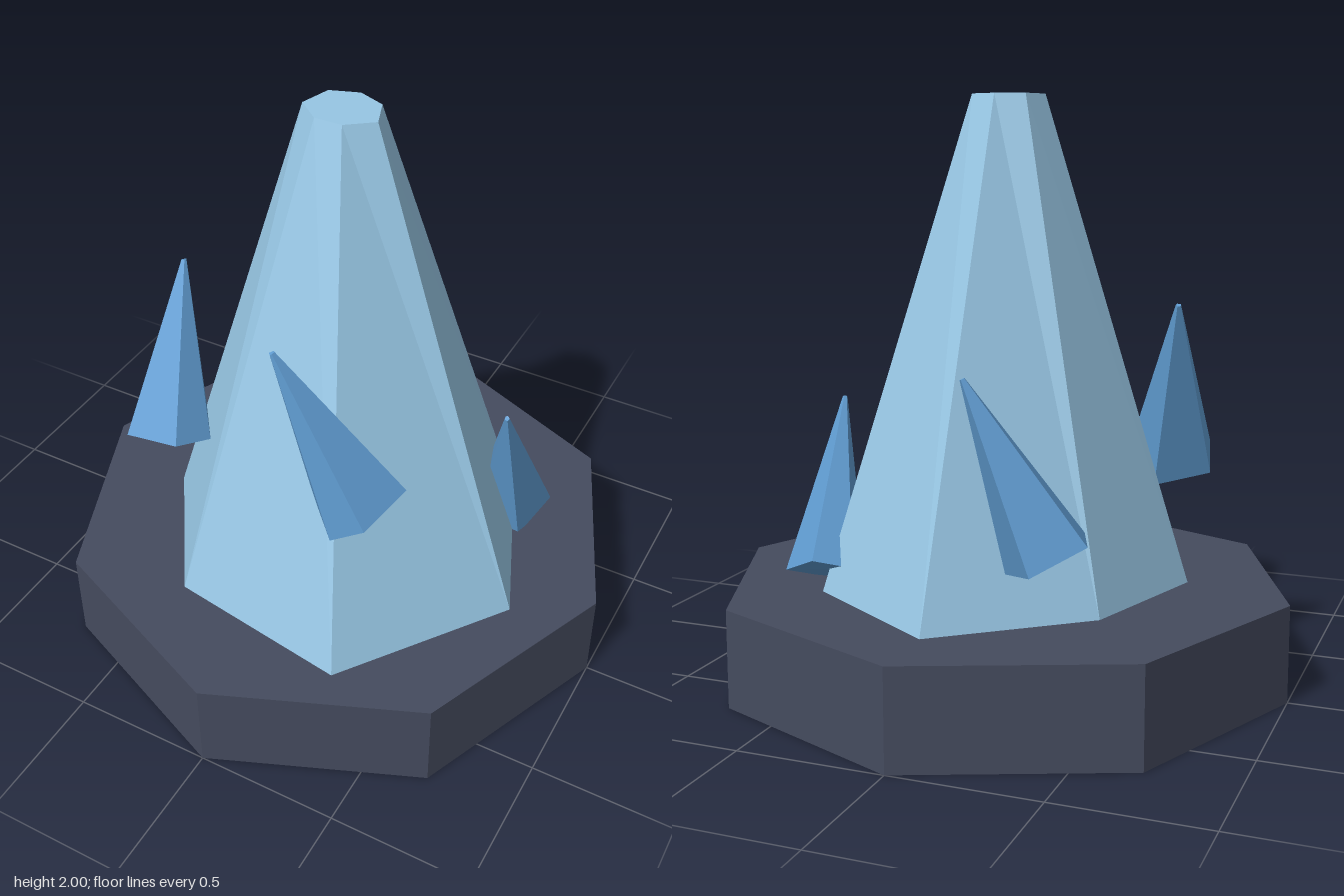
import * as THREE from 'three';

const material = (color) => new THREE.MeshStandardMaterial({ color, flatShading: true });

// Closed faceted solid between two rings, each counter-clockwise seen from above
function loft(bottom, top) {
  const pos = [];
  const tri = (...pts) => pts.forEach((p) => pos.push(...p));
  const n = bottom.length;
  for (let i = 0; i < n; i++) {
    const j = (i + 1) % n;
    tri(bottom[i], bottom[j], top[i]);
    tri(bottom[j], top[j], top[i]);
    if (i > 0 && j > 0) {
      tri(bottom[0], bottom[j], bottom[i]);
      tri(top[0], top[i], top[j]);
    }
  }
  const geo = new THREE.BufferGeometry();
  geo.setAttribute('position', new THREE.Float32BufferAttribute(pos, 3));
  geo.computeVertexNormals();
  return geo;
}

// Shard: an irregular base ring shrinking to a tiny blunt tip
function shard(tip, base) {
  const centre = [0, 1, 2].map((k) => base.reduce((s, p) => s + p[k], 0) / base.length);
  const top = base.map((p) => p.map((v, k) => tip[k] + (v - centre[k]) * 0.06));
  return loft(base, top);
}

export function createModel() {
  const group = new THREE.Group();
  const add = (name, geo, mat) => {
    const mesh = new THREE.Mesh(geo, mat);
    mesh.name = name;
    group.add(mesh);
    return mesh;
  };

  // Octagonal plinth
  add('plinth', new THREE.CylinderGeometry(1, 1, 0.335, 8), material(0x454b5e)).position.y = 0.1675;

  // Uneven seven-sided spire with a flat top
  const ring = (radii, y) => radii.map((r, i) => {
    const a = Math.PI + (i / radii.length) * Math.PI * 2;
    return [Math.sin(a) * r, y, Math.cos(a) * r];
  });
  const bottom = ring([0.745, 0.59, 0.636, 0.69, 0.805, 0.769, 0.655], 0.33);
  const top = ring([0.112, 0.125, 0.132, 0.11, 0.11, 0.138, 0.12], 2);
  add('spire', loft(bottom, top), material(0x97c6e4));

  // Leaning shards set into the spire
  const blue = material(0x5f9bd0);
  add('frontShard', shard([0.08, 1.485, 0.59], [
    [0.47, 0.995, 0.45], [0.35, 0.96, 0.36], [0.16, 0.855, 0.49], [0.3, 0.86, 0.64], [0.42, 0.95, 0.64],
  ]), blue);
  add('rightShard', shard([-0.585, 1.305, 0.075], [
    [-0.66, 0.7, 0.27], [-0.615, 0.78, 0.45], [-0.41, 0.81, 0.45], [-0.355, 0.77, 0.32], [-0.5, 0.675, 0.12],
  ]), blue);
  add('leftShard', shard([0.585, 0.95, -0.075], [
    [0.67, 0.385, -0.375], [0.51, 0.46, -0.48], [0.4, 0.425, -0.4], [0.44, 0.33, -0.22], [0.62, 0.32, -0.2],
  ]), blue);
  add('backShard', shard([-0.085, 1.125, -0.595], [
    [-0.33, 0.54, -0.67], [-0.475, 0.62, -0.545], [-0.405, 0.616, -0.36], [-0.27, 0.56, -0.34], [-0.2, 0.503, -0.53],
  ]), blue);

  return group;
}
